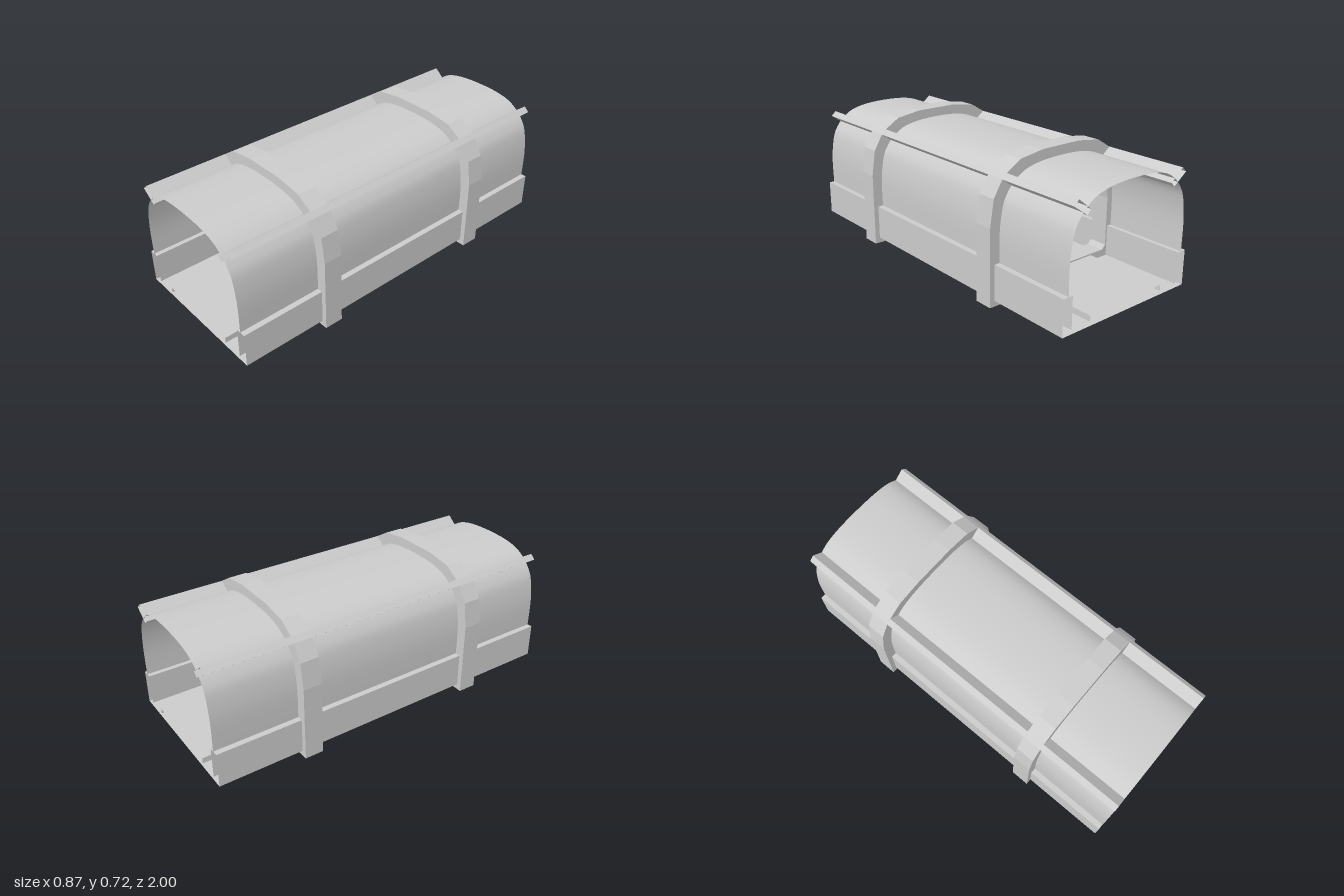
import * as THREE from 'three';

const LENGTH = 2;
const material = new THREE.MeshStandardMaterial({ color: 0xcccccc, side: THREE.DoubleSide });
const flatMaterial = new THREE.MeshStandardMaterial({ color: 0xcccccc, side: THREE.DoubleSide, flatShading: true });

const mirror = (points) => points.map(([x, y]) => [-x, y]).reverse();

// Open sheet: a cross-section in x/y swept along the full length
function sheet(name, points, mat = flatMaterial) {
  const position = [];
  const index = [];
  points.forEach(([x, y], i) => {
    position.push(x, y, LENGTH / 2, x, y, -LENGTH / 2);
    if (i > 0) {
      const a = 2 * (i - 1);
      index.push(a, a + 2, a + 1, a + 1, a + 2, a + 3);
    }
  });
  const geometry = new THREE.BufferGeometry();
  geometry.setAttribute('position', new THREE.Float32BufferAttribute(position, 3));
  geometry.setIndex(index);
  geometry.computeVertexNormals();
  const mesh = new THREE.Mesh(geometry, mat);
  mesh.name = name;
  return mesh;
}

// Solid rib piece, centred on its own z
function ribPiece(name, points) {
  const shape = new THREE.Shape(points.map(([x, y]) => new THREE.Vector2(x, y)));
  const geometry = new THREE.ExtrudeGeometry(shape, { depth: 0.1, bevelEnabled: false });
  geometry.translate(0, 0, -0.05);
  const mesh = new THREE.Mesh(geometry, flatMaterial);
  mesh.name = name;
  return mesh;
}

export function createModel() {
  const model = new THREE.Group();
  model.name = 'tunnelSection';

  // Two support ribs, each a U-shaped base and a separate crown
  const baseOuter = [[0.437, 0], [0.437, 0.4], [0.416, 0.537], [0.367, 0.62]];
  const baseInner = [[0.287, 0.563], [0.327, 0.487], [0.346, 0.37], [0.346, 0.11], [0.325, 0.088]];
  const base = [...baseOuter, ...baseInner];
  const crownOuter = [[0.34, 0.645], [0.257, 0.696], [0.117, 0.716]];
  const crownInner = [[0.07, 0.645], [0.19, 0.628], [0.265, 0.585]];
  for (const z of [-0.5, 0.5]) {
    const rib = new THREE.Group();
    rib.name = 'supportRib';
    rib.add(ribPiece('ribBase', [...base, ...mirror(base)]));
    rib.add(ribPiece('ribCrown', [
      ...crownOuter, ...mirror(crownOuter), ...mirror(crownInner), ...crownInner,
    ]));
    rib.position.z = z;
    model.add(rib);
  }

  // Smooth arched lining between the lower walls
  const half = [[0.38, 0.215], [0.38, 0.37], [0.362, 0.49], [0.335, 0.55], [0.29, 0.6], [0.215, 0.643], [0.09, 0.664]];
  const arch = new THREE.SplineCurve([...half, ...mirror(half)].map(([x, y]) => new THREE.Vector2(x, y)));
  model.add(sheet('archLining', arch.getPoints(48).map((p) => [p.x, p.y]), material));

  // Floor trough: underside, hollow side walls, gutters and raised walkway
  const side = [[0.41, 0.03], [0.41, 0.215], [0.355, 0.215], [0.355, 0.05], [0.24, 0.05], [0.24, 0.08]];
  model.add(sheet('floorAndLowerWalls', [...side, ...mirror(side), side[0]]));

  // Longitudinal rails filling the gaps between rib base and crown, open at the ends
  const rail = [[0.367, 0.62], [0.34, 0.645], [0.265, 0.585], [0.287, 0.563], [0.367, 0.62]];
  model.add(sheet('leftRail', rail));
  model.add(sheet('rightRail', mirror(rail)));

  return model;
}
